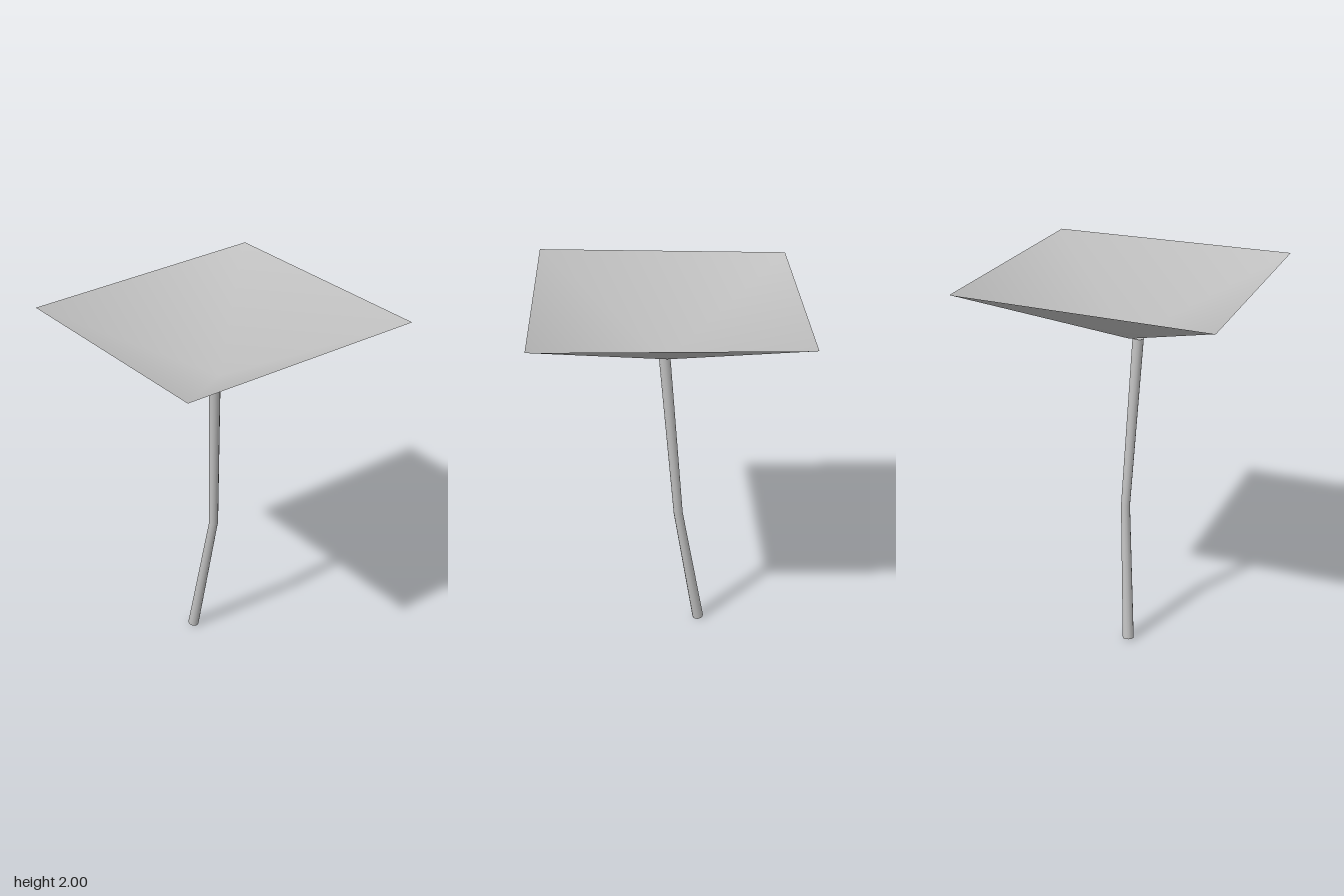
import * as THREE from 'three';

const grey = new THREE.MeshStandardMaterial({ color: 0xc0c0c0, side: THREE.DoubleSide });
grey.name = 'plain grey';

// Bent pole: a capped cylinder whose three rings follow the given stations
function makePole() {
  const stations = [
    { at: new THREE.Vector3(-0.175, 0.006, 0.06), r: 0.03 },
    { at: new THREE.Vector3(-0.058, 0.74, 0.0), r: 0.024 },
    { at: new THREE.Vector3(0.013, 1.65, 0.042), r: 0.029 },
  ];
  const up = new THREE.Vector3(0, 1, 0);
  stations.forEach((s, i) => {
    const from = stations[Math.max(i - 1, 0)].at;
    const to = stations[Math.min(i + 1, 2)].at;
    s.turn = new THREE.Quaternion().setFromUnitVectors(up, to.clone().sub(from).normalize());
  });

  const geo = new THREE.CylinderGeometry(1, 1, 2, 12, 2);
  const pos = geo.attributes.position;
  const nor = geo.attributes.normal;
  const v = new THREE.Vector3();
  for (let i = 0; i < pos.count; i++) {
    const s = stations[Math.round(pos.getY(i)) + 1];
    v.fromBufferAttribute(pos, i).setY(0).multiplyScalar(s.r).applyQuaternion(s.turn).add(s.at);
    pos.setXYZ(i, v.x, v.y, v.z);
    v.fromBufferAttribute(nor, i).applyQuaternion(s.turn);
    nor.setXYZ(i, v.x, v.y, v.z);
  }
  const pole = new THREE.Mesh(geo, grey);
  pole.name = 'bentPole';
  return pole;
}

// Canopy: a shallow, slightly tilted inverted pyramid with soft normals
function makeCanopy() {
  const h = 0.648;
  const geo = new THREE.BufferGeometry();
  geo.setAttribute('position', new THREE.Float32BufferAttribute([
    0, 1.647, 0,
    -h, 1.952, h,
    h, 1.987, h,
    h, 2.0, -h,
    -h, 1.987, -h,
  ], 3));
  const index = [];
  for (let i = 0; i < 4; i++) index.push(0, 1 + i, 1 + (i + 1) % 4);
  geo.setIndex(index);
  geo.computeVertexNormals();
  const canopy = new THREE.Mesh(geo, grey);
  canopy.name = 'canopy';
  return canopy;
}

export function createModel() {
  const model = new THREE.Group();
  model.name = 'canopyOnPole';
  model.add(makePole(), makeCanopy());
  return model;
}
